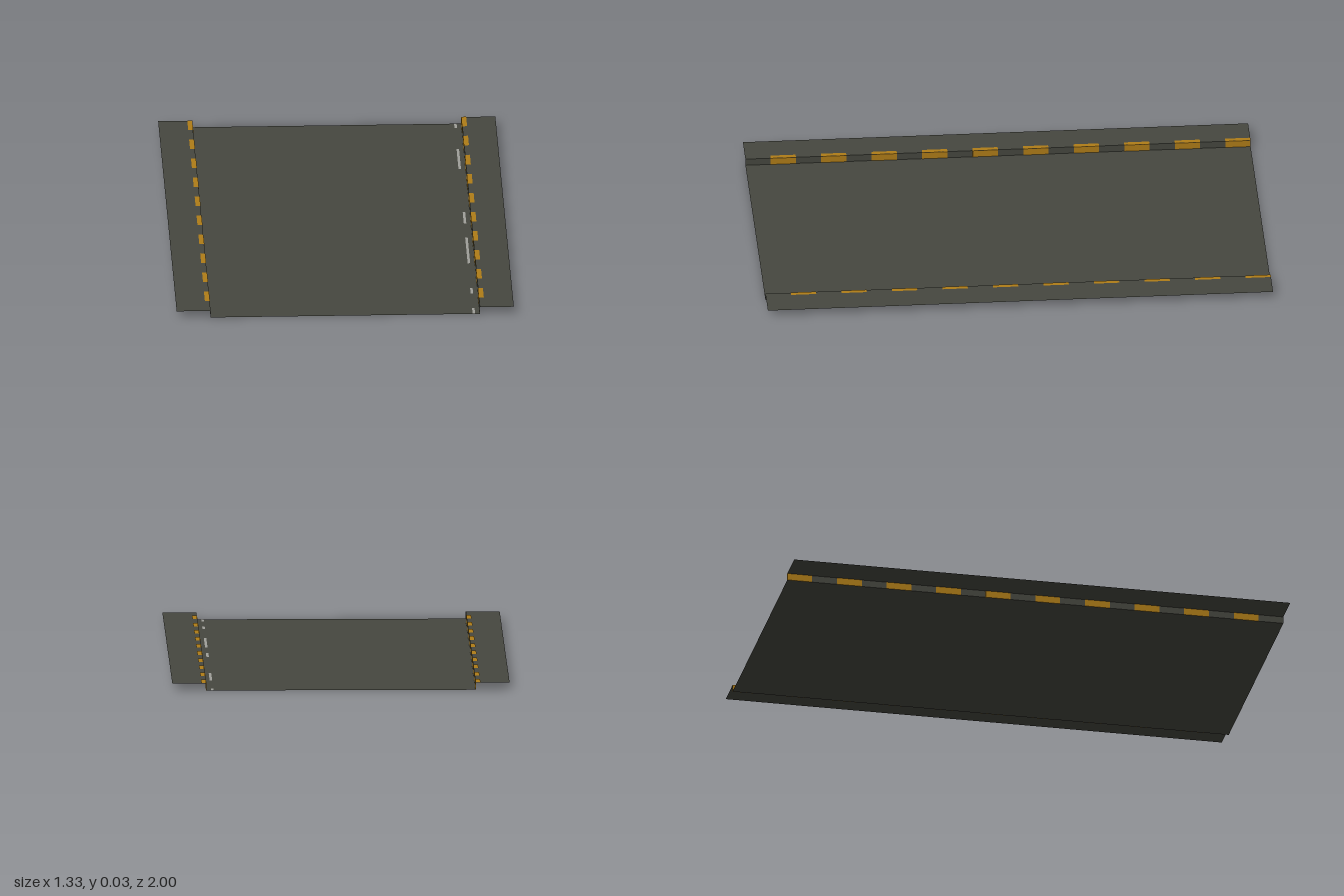
import * as THREE from 'three';

export function createModel() {
  const model = new THREE.Group();
  const mat = (name, color) => {
    const m = new THREE.MeshStandardMaterial({ color, side: THREE.DoubleSide });
    m.name = name;
    return m;
  };
  const asphalt = mat('asphalt', 0x46473f);
  const yellow = mat('yellow paint', 0xb07d18);
  const grey = mat('pale grey paint', 0xa0a09a);

  const CURB = 0.532, EDGE = 0.666, HEIGHT = 0.028;

  const add = (parent, name, geometry, material, x, y, z) => {
    const mesh = new THREE.Mesh(geometry, material);
    mesh.name = name;
    mesh.position.set(x, y, z);
    parent.add(mesh);
  };
  // Thin sheets, either lying flat or standing along z
  const flat = (width, length) => new THREE.PlaneGeometry(width, length).rotateX(-Math.PI / 2);
  const upright = (height, length, side) =>
    new THREE.PlaneGeometry(length, height).rotateY(-side * Math.PI / 2);

  // Road surface
  add(model, 'road', flat(CURB * 2, 2), asphalt, 0, 0, 0);

  for (const side of [-1, 1]) {
    const walk = new THREE.Group();
    walk.name = side > 0 ? 'leftSidewalk' : 'rightSidewalk';
    model.add(walk);

    // Raised pavement and curb wall
    add(walk, 'pavement', flat(EDGE - CURB, 2), asphalt, side * (CURB + EDGE) / 2, HEIGHT, 0);
    add(walk, 'curb', upright(HEIGHT, 2, side), asphalt, side * CURB, HEIGHT / 2, 0);

    // Yellow dashes wrapping over the curb
    for (let i = 0; i < 10; i++) {
      const z = -0.95 + i * 0.2;
      add(walk, 'curbTopDash', flat(0.019, 0.1), yellow, side * (CURB + 0.0095), HEIGHT + 0.001, z);
      add(walk, 'curbFaceDash', new THREE.BoxGeometry(0.002, HEIGHT, 0.1), yellow,
        side * CURB, HEIGHT / 2, z);
    }
  }

  // Worn gutter line beside the left curb: [start, end] along z
  for (const [a, b] of [[-1, -0.95], [-0.73, -0.52], [-0.07, 0.05], [0.2, 0.47], [0.73, 0.79], [0.94, 1]])
    add(model, 'gutterLine', flat(0.01, b - a), grey, 0.508, 0.0008, (a + b) / 2);

  return model;
}
